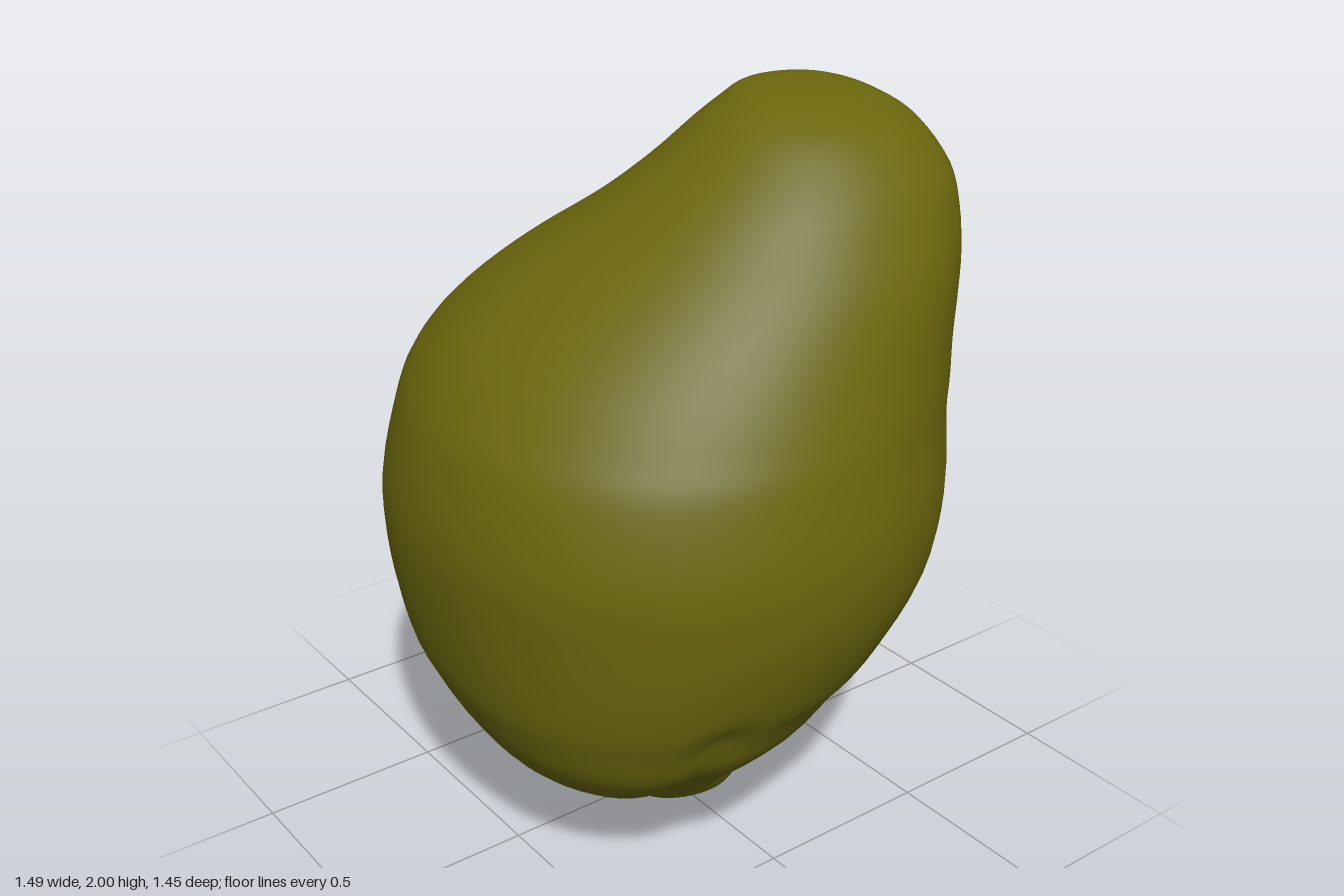
import * as THREE from 'three';

// Height, x extents, z extents and diagonal skew of each cross-section
const SECTIONS = [
  [0.0, -0.11, -0.11, -0.04, -0.04, 0.3],
  [0.012, -0.18, -0.05, -0.1, 0.0, 0.3],
  [0.04, -0.25, 0.06, -0.15, 0.04, 0.3],
  [0.09, -0.34, 0.23, -0.2, 0.1, 0.3],
  [0.14, -0.42, 0.3, -0.25, 0.24, 0.3],
  [0.2, -0.49, 0.345, -0.31, 0.38, 0.28],
  [0.3, -0.585, 0.45, -0.405, 0.525, 0.24],
  [0.4, -0.65, 0.55, -0.49, 0.605, 0.18],
  [0.5, -0.69, 0.605, -0.55, 0.655, 0.12],
  [0.6, -0.718, 0.66, -0.605, 0.69, 0.06],
  [0.8, -0.738, 0.725, -0.68, 0.72, 0],
  [1.0, -0.744, 0.742, -0.72, 0.727, 0],
  [1.2, -0.715, 0.71, -0.725, 0.68, 0],
  [1.3, -0.68, 0.685, -0.72, 0.63, -0.04],
  [1.4, -0.622, 0.655, -0.715, 0.555, -0.07],
  [1.5, -0.535, 0.625, -0.712, 0.45, -0.1],
  [1.6, -0.425, 0.59, -0.71, 0.325, -0.12],
  [1.7, -0.3, 0.54, -0.708, 0.19, -0.12],
  [1.8, -0.208, 0.48, -0.695, 0.06, -0.1],
  [1.9, -0.14, 0.385, -0.64, -0.07, -0.05],
  [1.95, -0.1, 0.29, -0.585, -0.15, 0],
  [1.985, -0.055, 0.18, -0.5, -0.23, 0],
  [2.0, 0.04, 0.04, -0.36, -0.36, 0],
];

const v = (x, y, z) => new THREE.Vector3(x, y, z);

// Creases in the skin: path, depth and width
const CREASES = [
  { path: [v(0.58, 0.54, 0.26), v(0.44, 0.36, 0.27), v(0.22, 0.22, 0.28), v(0, 0.16, 0.24), v(-0.15, 0.06, 0.08)], depth: 0.03, width: 0.06 },
  { path: [v(-0.72, 0.95, 0.2), v(-0.65, 0.65, 0.32), v(-0.58, 0.45, 0.32)], depth: 0.03, width: 0.07 },
  { path: [v(-0.08, 0.7, -0.63), v(-0.1, 0.45, -0.5), v(-0.12, 0.2, -0.29)], depth: 0.022, width: 0.1 },
].map((c) => ({ ...c, points: new THREE.CatmullRomCurve3(c.path).getPoints(24) }));

// Slightly squared circle
const squared = (c) => Math.sign(c) * Math.abs(c) ** 0.94;

function fruitGeometry(rows, sides) {
  const curve = (a, b) => new THREE.CatmullRomCurve3(
    SECTIONS.map((s) => v(s[a], s[b], s[0])), false, 'catmullrom', 0.5);
  const xs = curve(1, 2), zs = curve(3, 4), skews = curve(5, 5);
  const positions = [], index = [];
  for (let i = 0; i <= rows; i++) {
    const x = xs.getPoint(i / rows), z = zs.getPoint(i / rows);
    const skew = skews.getPoint(i / rows).x;
    const cx = (x.x + x.y) / 2, rx = (x.y - x.x) / 2;
    const cz = (z.x + z.y) / 2, rz = (z.y - z.x) / 2;
    for (let j = 0; j < sides; j++) {
      const a = (j / sides) * Math.PI * 2;
      const p = v(cx + rx * squared(Math.cos(a)), x.z, cz + rz * squared(Math.sin(a + skew)));
      // Press the creases toward the core
      let dent = 0;
      for (const c of CREASES) {
        const d = Math.min(...c.points.map((q) => q.distanceTo(p)));
        dent += c.depth * Math.exp(-((d / c.width) ** 2));
      }
      p.addScaledVector(v(0, 0.9, 0).sub(p).normalize(), dent);
      positions.push(p.x, p.y, p.z);
      if (i < rows) {
        const k = (j + 1) % sides;
        const a0 = i * sides + j, a1 = i * sides + k;
        index.push(a0, a0 + sides, a1, a1, a0 + sides, a1 + sides);
      }
    }
  }
  const g = new THREE.BufferGeometry();
  g.setAttribute('position', new THREE.Float32BufferAttribute(positions, 3));
  g.setIndex(index);
  g.computeVertexNormals();
  return g;
}

export function createModel() {
  const group = new THREE.Group();
  group.name = 'fruit';
  const skin = new THREE.MeshStandardMaterial({ color: 0x6b670d });
  skin.name = 'olive skin';
  const body = new THREE.Mesh(fruitGeometry(88, 72), skin);
  body.name = 'fruitBody';
  group.add(body);
  return group;
}
